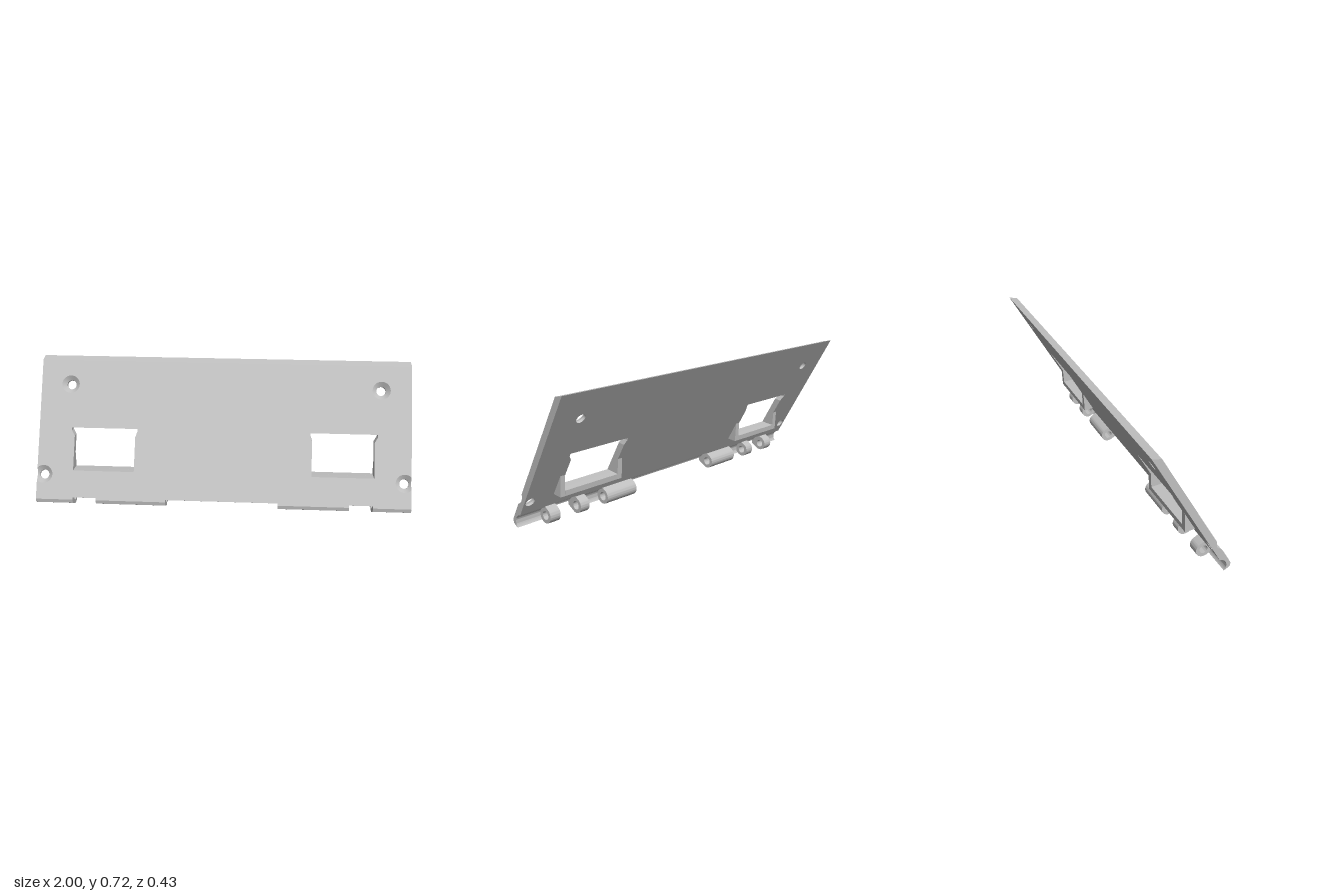
import * as THREE from 'three';
import { toCreasedNormals } from 'three/addons/utils/BufferGeometryUtils.js';

// Panel coordinates: x across, v up the slope, s depth behind the front face
const T = 0.036;                       // panel thickness
const V0 = 0.07, VF = 0.7616, VB = 0.794; // panel bottom, front top, back top
const PIN = { s: 0.0604, v: 0.0233, r: 0.04, hole: 0.022 };
const R = 0.048, r = 0.025;            // countersink and through-hole radii
const HOLES = [[0.84, 0.628], [0.965, 0.1345]];
const SLOPE = 0.457;                   // rise of the windows per unit depth
const EDGE_D = 1 - HOLES[1][0];        // lower hole centre to the panel's side
const CHORD = Math.sqrt(R * R - EDGE_D * EDGE_D);

const grey = new THREE.MeshStandardMaterial({ color: 0xc0c0c0, side: THREE.DoubleSide });
grey.name = 'light grey';

function add(parent, name, geometry) {
  const mesh = new THREE.Mesh(geometry, grey);
  mesh.name = name;
  parent.add(mesh);
  return mesh;
}

// Skin between two outlines of [x, v, s] points
function loft(a, b, closed, smooth) {
  const pos = [...a, ...b].flatMap(([x, v, s]) => [x, v, -s]);
  const n = a.length, index = [];
  for (let i = 0; i < (closed ? n : n - 1); i++) {
    const j = (i + 1) % n;
    index.push(i, j, n + j, i, n + j, n + i);
  }
  let g = new THREE.BufferGeometry();
  g.setAttribute('position', new THREE.Float32BufferAttribute(pos, 3));
  g.setIndex(index);
  if (!smooth) g = g.toNonIndexed();
  g.computeVertexNormals();
  return g;
}

// Side profile in (s, v) swept across x
function sweep(shape, x0, x1) {
  const g = new THREE.ExtrudeGeometry(shape, { depth: x1 - x0, bevelEnabled: false, curveSegments: 32 });
  g.rotateY(Math.PI / 2).translate(x0, 0, 0);
  return toCreasedNormals(g, 0.5);
}

const polygon = (pts) => new THREE.Shape(pts.map(([x, y]) => new THREE.Vector2(x, y)));

// Window outline, flared at its top corners, at a given depth
function windowOutline(side, s) {
  const dv = s * SLOPE;
  return [[0.475, 0.157], [0.805, 0.157], [0.805, 0.345], [0.822, 0.375],
    [0.822, 0.39], [0.465, 0.39], [0.465, 0.375], [0.475, 0.345]]
    .map(([x, v]) => [side * x, v + dv, s]);
}

// Front or back face of the panel with its openings
function face(s, top, holeRadius, notched) {
  const shape = new THREE.Shape();
  const [hx, hv] = HOLES[1], a = Math.atan2(CHORD, EDGE_D);
  shape.moveTo(-1, V0).lineTo(1, V0);
  if (notched) shape.lineTo(1, hv - CHORD).absarc(hx, hv, R, -a, a, true);
  shape.lineTo(1, top).lineTo(-1, top);
  if (notched) shape.lineTo(-1, hv + CHORD).absarc(-hx, hv, R, Math.PI - a, Math.PI + a, true);
  for (const side of [-1, 1]) {
    shape.holes.push(new THREE.Path(windowOutline(side, s).map(([x, v]) => new THREE.Vector2(x, v))));
    for (const [x, v] of notched ? [HOLES[0]] : HOLES) {
      shape.holes.push(new THREE.Path().absarc(side * x, v, holeRadius, 0, Math.PI * 2, true));
    }
  }
  return new THREE.ShapeGeometry(shape, 32);
}

// Side edge of the panel, with the curve left by the lower countersink
function sideEdge() {
  const pts = [[0, V0], [T, V0], [T, VB], [0, VF]];
  for (let i = 0; i <= 12; i++) {
    const t = CHORD * (1 - i / 6);
    pts.push([Math.max(0, R - Math.hypot(EDGE_D, t)), HOLES[1][1] + t]);
  }
  return new THREE.ShapeGeometry(polygon(pts)).rotateY(Math.PI / 2);
}

// Countersunk screw hole, trimmed where it runs off the panel's side
function screwHole(parent, side, [hx, hv]) {
  const rim = [], neck = [], end = [];
  for (let i = 0; i < 48; i++) {
    const a = i / 48 * Math.PI * 2, c = Math.cos(a), y = Math.sin(a);
    const ro = c > 0 ? Math.min(R, (1 - hx) / c) : R;
    rim.push([side * (hx + ro * c), hv + ro * y, R - ro]);
    neck.push([side * (hx + r * c), hv + r * y, R - r]);
    end.push([side * (hx + r * c), hv + r * y, T]);
  }
  add(parent, 'countersink', loft(rim, neck, true, true));
  add(parent, 'screwBore', loft(neck, end, true, true));
}

// Lower edge hollowed by a clearance cylinder round the hinge pin
function hollowEdge(front, bottom, radius) {
  const shape = polygon(front);
  shape.absarc(PIN.s, PIN.v, radius, Math.PI + Math.asin((PIN.v - bottom) / radius),
    Math.PI - Math.acos((PIN.s - T) / radius), true);
  return shape.lineTo(T, V0).lineTo(0, V0);
}

function knuckleShape() {
  const low = PIN.v - PIN.r, high = PIN.v + PIN.r;
  const shape = polygon([[0, V0], [0, 0], [0.013, low], [PIN.s, low]]);
  shape.absarc(PIN.s, PIN.v, PIN.r, -Math.PI / 2, Math.PI / 2, false);
  shape.lineTo(T, high).lineTo(T, V0);
  shape.holes.push(new THREE.Path().absarc(PIN.s, PIN.v, PIN.hole, 0, Math.PI * 2, true));
  return shape;
}

export function createModel() {
  const model = new THREE.Group();
  model.name = 'hingedPanel';
  const panel = new THREE.Group();
  panel.name = 'slopedPanel';
  panel.rotation.x = -Math.PI / 6;
  panel.position.set(0, 0.05, 0.215);
  model.add(panel);

  // Panel skin
  add(panel, 'frontFace', face(0, VF, R, true));
  add(panel, 'backFace', face(T, VB, r, false).rotateY(Math.PI).translate(0, 0, -T));
  add(panel, 'topBevel', loft([[-1, VF, 0], [1, VF, 0]], [[-1, VB, T], [1, VB, T]], false));

  const lip = hollowEdge([[0, V0], [0, 0], [0.013, -0.0167]], -0.0167, 0.042);
  const recess = hollowEdge([[0, V0], [0, 0.012]], 0.012, 0.05);
  const knuckle = knuckleShape();
  const floor = polygon([[T, 0.142], [0.084, 0.164], [0.072, 0.1895], [T, 0.1735]]);
  const cheek = polygon([[T, 0.142], [0.084, 0.164], [T, 0.263]]);

  add(panel, 'centreRecess', sweep(recess, -0.3, 0.3));
  for (const side of [-1, 1]) {
    const across = (name, shape, a, b) =>
      add(panel, name, sweep(shape, Math.min(side * a, side * b), Math.max(side * a, side * b)));

    add(panel, 'sideEdge', sideEdge().translate(side, 0, 0));
    for (const hole of HOLES) screwHole(panel, side, hole);

    // Window with the frame behind it
    add(panel, 'windowReveal', loft(windowOutline(side, 0), windowOutline(side, T), true));
    across('windowFloor', floor, 0.475, 0.805);
    across('windowCheek', cheek, 0.447, 0.475);
    across('windowCheek', cheek, 0.805, 0.833);

    // Hinge edge
    for (const [a, b] of [[0.3, 0.5], [0.62, 0.675], [0.8, 0.86]]) across('hingeKnuckle', knuckle, a, b);
    for (const [a, b] of [[0.5, 0.62], [0.86, 1]]) across('hingeLip', lip, a, b);
    across('hingeRecess', recess, 0.675, 0.8);
  }
  return model;
}
